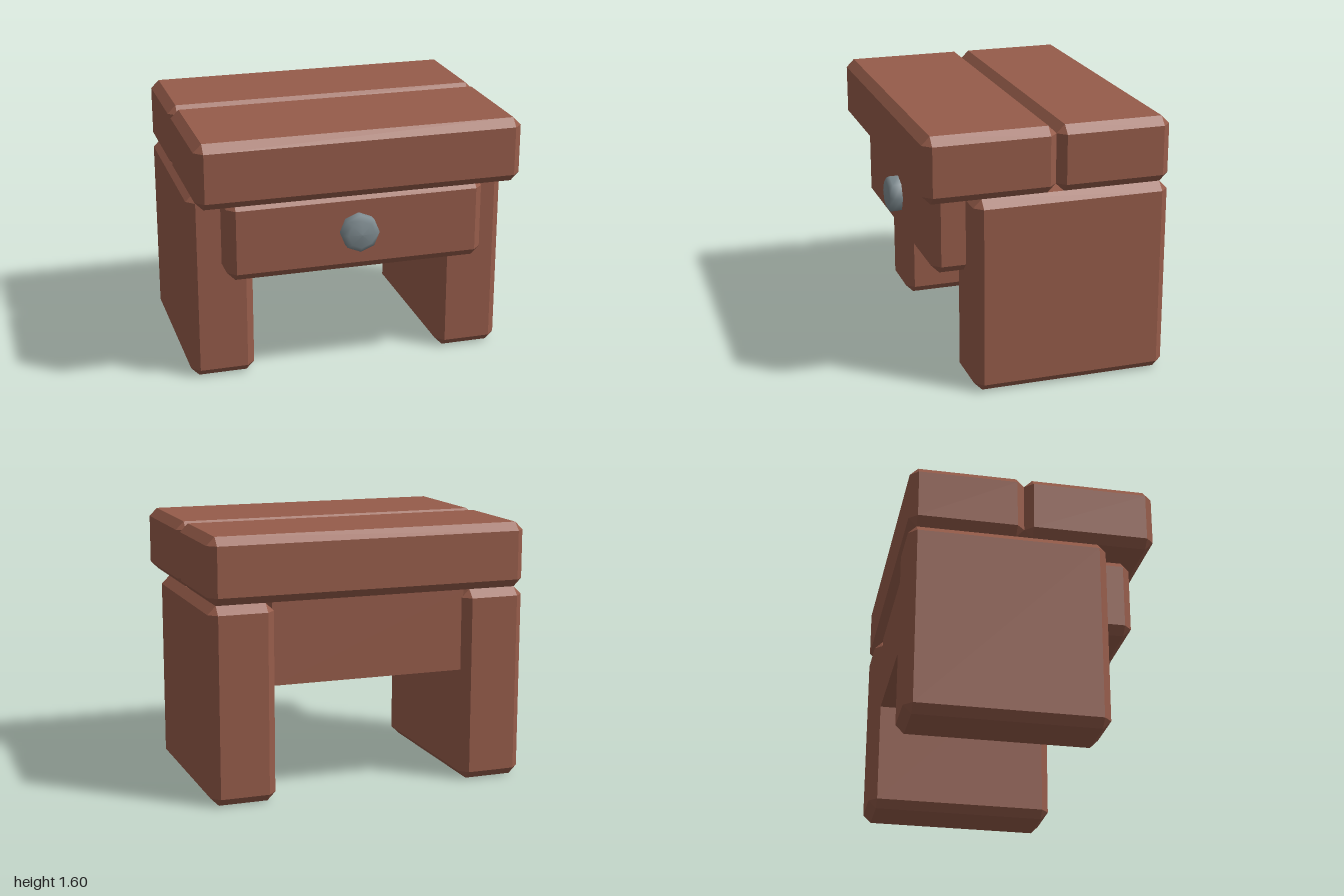
import * as THREE from 'three';
import { ConvexGeometry } from 'three/addons/geometries/ConvexGeometry.js';

const BEVEL = 0.05;

// Box between two corners with every edge chamfered
function chamferBox(min, max, b = BEVEL) {
  const centre = min.map((v, i) => (v + max[i]) / 2);
  const half = min.map((v, i) => (max[i] - v) / 2);
  const points = [];
  for (const sx of [-1, 1]) for (const sy of [-1, 1]) for (const sz of [-1, 1]) {
    for (let axis = 0; axis < 3; axis++) {
      const p = [sx, sy, sz].map((s, i) => centre[i] + s * (half[i] - (i === axis ? 0 : b)));
      points.push(new THREE.Vector3(...p));
    }
  }
  return new ConvexGeometry(points);
}

export function createModel() {
  const model = new THREE.Group();
  model.name = 'drawerStool';

  const wood = new THREE.MeshStandardMaterial({ color: 0x965c4a });
  wood.name = 'brownWood';
  const metal = new THREE.MeshStandardMaterial({ color: 0x7f8c91 });
  metal.name = 'greyMetal';

  const add = (name, geometry, material) => {
    const mesh = new THREE.Mesh(geometry, material);
    mesh.name = name;
    model.add(mesh);
    return mesh;
  };

  // Two seat planks side by side
  add('frontPlank', chamferBox([-1, 1.2, -0.05], [1, 1.6, 0.75]), wood);
  add('backPlank', chamferBox([-1, 1.2, -0.75], [1, 1.6, -0.05]), wood);

  // Slab legs
  add('leftLeg', chamferBox([0.6, 0, -0.75], [1, 1.2, 0.45]), wood);
  add('rightLeg', chamferBox([-1, 0, -0.75], [-0.6, 1.2, 0.45]), wood);

  // Drawer body between the legs, with a wider chamfered front
  const body = add('drawerBody', new THREE.BoxGeometry(1.22, 0.5, 1.2), wood);
  body.position.set(0, 0.95, -0.1);
  add('drawerFront', chamferBox([-0.8, 0.7, 0.3], [0.8, 1.2, 0.65]), wood);

  // Eight-sided domed knob
  const profile = [[0.117, 0], [0.117, 0.055], [0.085, 0.077], [0, 0.086]]
    .map(([r, y]) => new THREE.Vector2(r, y));
  const knob = add('drawerKnob', new THREE.LatheGeometry(profile, 8), metal);
  knob.rotation.x = Math.PI / 2;
  knob.position.set(0, 0.955, 0.65);

  return model;
}
